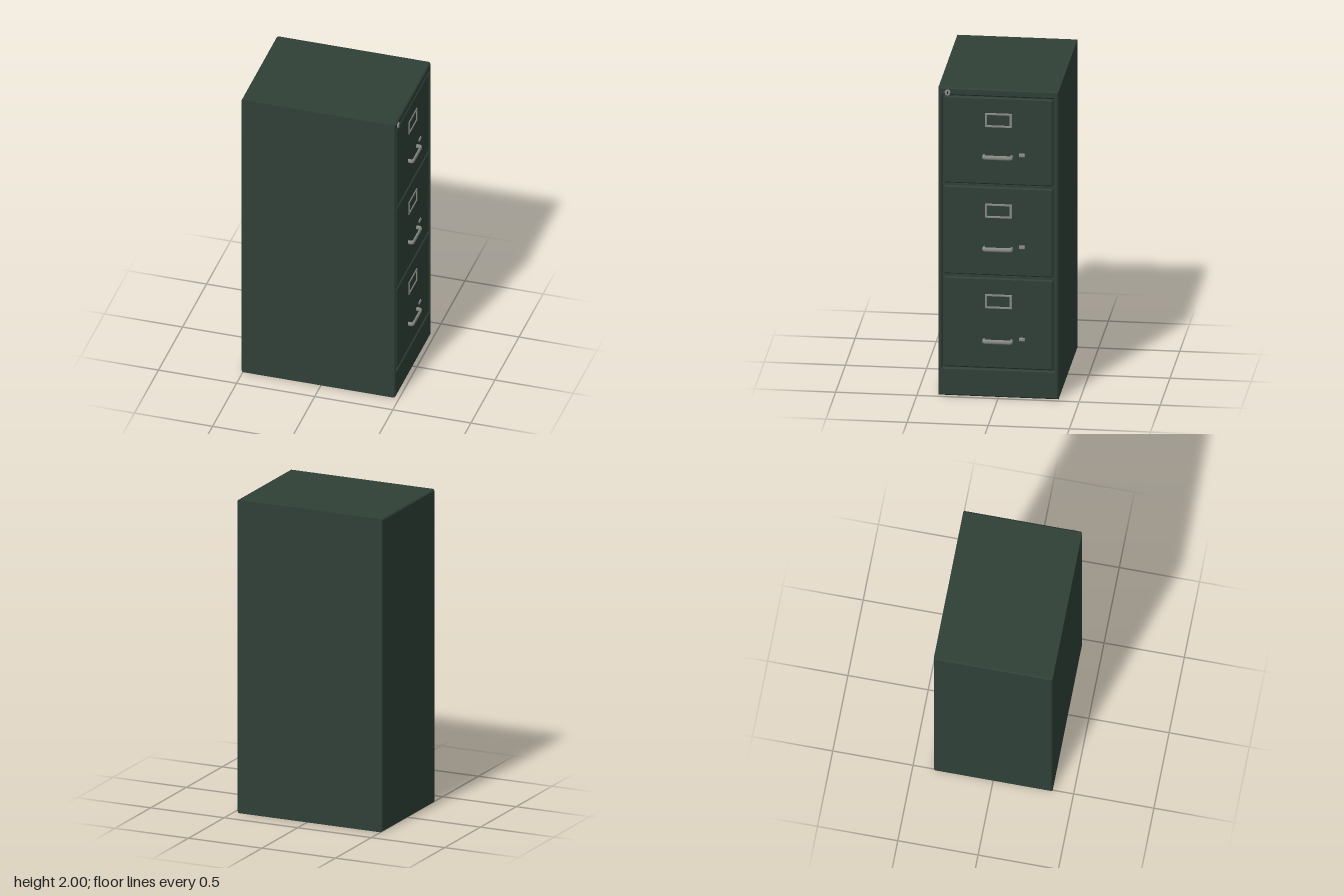
import * as THREE from 'three';
import { RoundedBoxGeometry } from 'three/addons/geometries/RoundedBoxGeometry.js';

const green = new THREE.MeshStandardMaterial({ color: 0x2f4037 });
const metal = new THREE.MeshStandardMaterial({ color: 0x8a8a86 });
const dark = new THREE.MeshStandardMaterial({ color: 0x222222 });

const FRONT = 0.475; // x of the drawer side
const HALF = 0.37;   // half width along z

function add(parent, name, geometry, material, x = 0, y = 0, z = 0) {
  const mesh = new THREE.Mesh(geometry, material);
  mesh.name = name;
  mesh.position.set(x, y, z);
  parent.add(mesh);
  return mesh;
}

function rectangle(Type, w, y0, y1) {
  return new Type([[-w, y0], [w, y0], [w, y1], [-w, y1]].map(([a, b]) => new THREE.Vector2(a, b)));
}

// Bevelled plate facing +x, running from x0 to x1, with an optional opening
function plate(w, y0, y1, x0, x1, bevel, hole) {
  const shape = rectangle(THREE.Shape, w, y0, y1);
  if (hole) shape.holes.push(rectangle(THREE.Path, ...hole));
  const geometry = new THREE.ExtrudeGeometry(shape, {
    depth: x1 - x0 - 2 * bevel, bevelThickness: bevel, bevelSize: bevel,
    bevelOffset: -bevel, bevelSegments: 1,
  });
  geometry.translate(0, 0, x0 + bevel);
  return geometry.rotateY(Math.PI / 2);
}

// Bow-shaped pull, flattened from a round tube
function pullGeometry() {
  const points = [
    [-0.01, 0.085], [0.012, 0.088], [0.022, 0.087], [0.027, 0.078], [0.028, 0.05],
    [0.028, 0], [0.028, -0.05], [0.027, -0.075], [0.022, -0.084], [0.012, -0.085], [-0.01, -0.082],
  ].map(([x, z]) => new THREE.Vector3(x, 0, z));
  const tube = new THREE.TubeGeometry(new THREE.CatmullRomCurve3(points), 40, 0.008, 10);
  return tube.scale(1, 1.8, 1);
}

function makeDrawer(bottom, top, labelY, pullY) {
  const drawer = new THREE.Group();
  drawer.name = 'drawer';
  add(drawer, 'drawerFront', plate(0.336, bottom, top, 0.45, 0.473, 0.008), green);
  add(drawer, 'labelFrame', plate(0.084, labelY - 0.046, labelY + 0.046, 0.468, 0.478, 0.002,
    [0.07, labelY - 0.033, labelY + 0.033]), metal);
  add(drawer, 'pull', pullGeometry(), metal, FRONT, pullY, 0.002);
  add(drawer, 'thumbLatch', new RoundedBoxGeometry(0.02, 0.024, 0.038, 2, 0.006), metal,
    0.47, pullY + 0.013, -0.145);
  return drawer;
}

export function createModel() {
  const model = new THREE.Group();
  model.name = 'filingCabinet';

  // Case, with a front frame around the shallow drawer opening
  add(model, 'case', plate(HALF, 0.005, 2, -0.51, 0.455, 0.008), green);
  add(model, 'frontFrame', plate(HALF, 0.005, 2, 0.42, FRONT, 0.008, [0.345, 0.185, 1.951]), green);

  // Rails between the drawers
  for (const y of [0.783, 1.373]) {
    add(model, 'rail', new THREE.BoxGeometry(0.02, 0.012, 0.69), green, 0.457, y, 0);
  }

  // Bottom, middle and top drawers: bottom, top, label height, pull height
  [
    [0.19, 0.775, 0.625, 0.372],
    [0.792, 1.365, 1.212, 0.97],
    [1.382, 1.945, 1.8, 1.566],
  ].forEach((d) => model.add(makeDrawer(...d)));

  // Lock in the top corner
  const lock = new THREE.Group();
  lock.name = 'lock';
  lock.position.set(FRONT, 1.97, 0.313);
  const barrel = new THREE.CylinderGeometry(0.017, 0.02, 0.018, 20).rotateZ(-Math.PI / 2);
  add(lock, 'lockBarrel', barrel, metal);
  add(lock, 'keySlot', new THREE.BoxGeometry(0.002, 0.018, 0.004), dark, 0.009);
  model.add(lock);

  return model;
}
